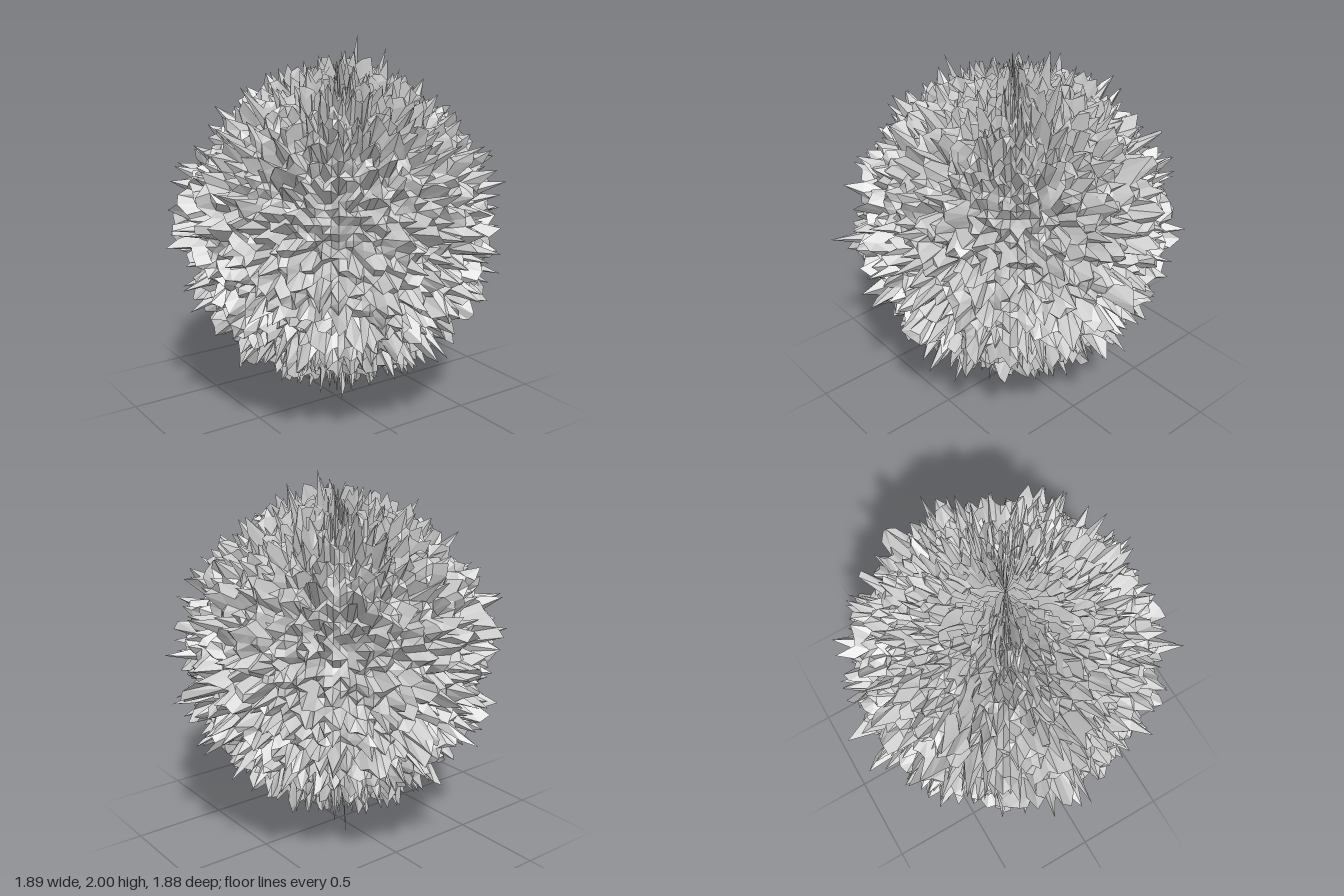
import * as THREE from 'three';

const COLS = 128, ROWS = 64;
const MEAN = 0.755, SPREAD = 0.067, MAX_RADIUS = 0.93;
const CENTRE = new THREE.Vector3(0, 1.01, 0.01);

// Tallest spikes, as tip positions
const TIPS = [
  [0.19, 2, -0.07], [0.08, 0, -0.17], [0.35, 1.93, 0], [-0.95, 1.09, -0.02],
  [0.94, 0.92, 0.06], [0.91, 1.33, 0], [0, 0.96, -0.95], [-0.14, 0.72, -0.93],
  [0.33, 1, 0.93], [-0.45, 1, 0.88], [-0.56, 1.79, 0], [0, 1.53, -0.8],
];

// Seeded random numbers in 0..1
function makeRandom(seed) {
  return () => {
    seed = (seed + 0x6d2b79f5) | 0;
    let t = Math.imul(seed ^ (seed >>> 15), 1 | seed);
    t = (t + Math.imul(t ^ (t >>> 7), 61 | t)) ^ t;
    return ((t ^ (t >>> 14)) >>> 0) / 4294967296;
  };
}

// Grid point number; columns wrap round and each pole is one point
function pointAt(row, col) {
  return row * COLS + (row === 0 || row === ROWS ? 0 : col % COLS);
}

// Bell-curve radius for every grid point, with the listed tips raised
function makeRadii() {
  const random = makeRandom(17);
  const radii = Array.from({ length: (ROWS + 1) * COLS }, () => {
    const bell = Math.sqrt(-2 * Math.log(1 - random())) * Math.cos(2 * Math.PI * random());
    return Math.min(MEAN + SPREAD * bell, MAX_RADIUS);
  });
  for (const tip of TIPS) {
    const v = new THREE.Vector3(...tip).sub(CENTRE);
    const row = Math.round((Math.acos(v.y / v.length()) / Math.PI) * ROWS);
    const turn = Math.atan2(v.x, v.z) / (2 * Math.PI);
    radii[pointAt(row, Math.round(turn * COLS) + COLS)] = v.length();
  }
  return radii;
}

function spikyBallGeometry() {
  const points = makeRadii().map((radius, i) => {
    const phi = (Math.floor(i / COLS) / ROWS) * Math.PI;
    const theta = ((i % COLS) / COLS) * 2 * Math.PI;
    return new THREE.Vector3().setFromSphericalCoords(radius, phi, theta).add(CENTRE);
  });

  // Split each four-sided cell along its shorter diagonal; polar cells are triangles
  const index = [];
  for (let row = 0; row < ROWS; row++) {
    for (let col = 0; col < COLS; col++) {
      const a = pointAt(row, col), b = pointAt(row + 1, col);
      const c = pointAt(row + 1, col + 1), d = pointAt(row, col + 1);
      if (row === 0) index.push(a, b, c);
      else if (row === ROWS - 1) index.push(a, b, d);
      else if (points[a].distanceTo(points[c]) < points[b].distanceTo(points[d])) {
        index.push(a, b, c, a, c, d);
      } else index.push(a, b, d, b, c, d);
    }
  }

  const geometry = new THREE.BufferGeometry().setFromPoints(points);
  geometry.setIndex(index);
  geometry.computeVertexNormals();
  return geometry;
}

export function createModel() {
  const group = new THREE.Group();
  group.name = 'spikyBall';
  const material = new THREE.MeshStandardMaterial({ color: 0xcccccc, flatShading: true });
  const shell = new THREE.Mesh(spikyBallGeometry(), material);
  shell.name = 'spikyShell';
  group.add(shell);
  return group;
}
